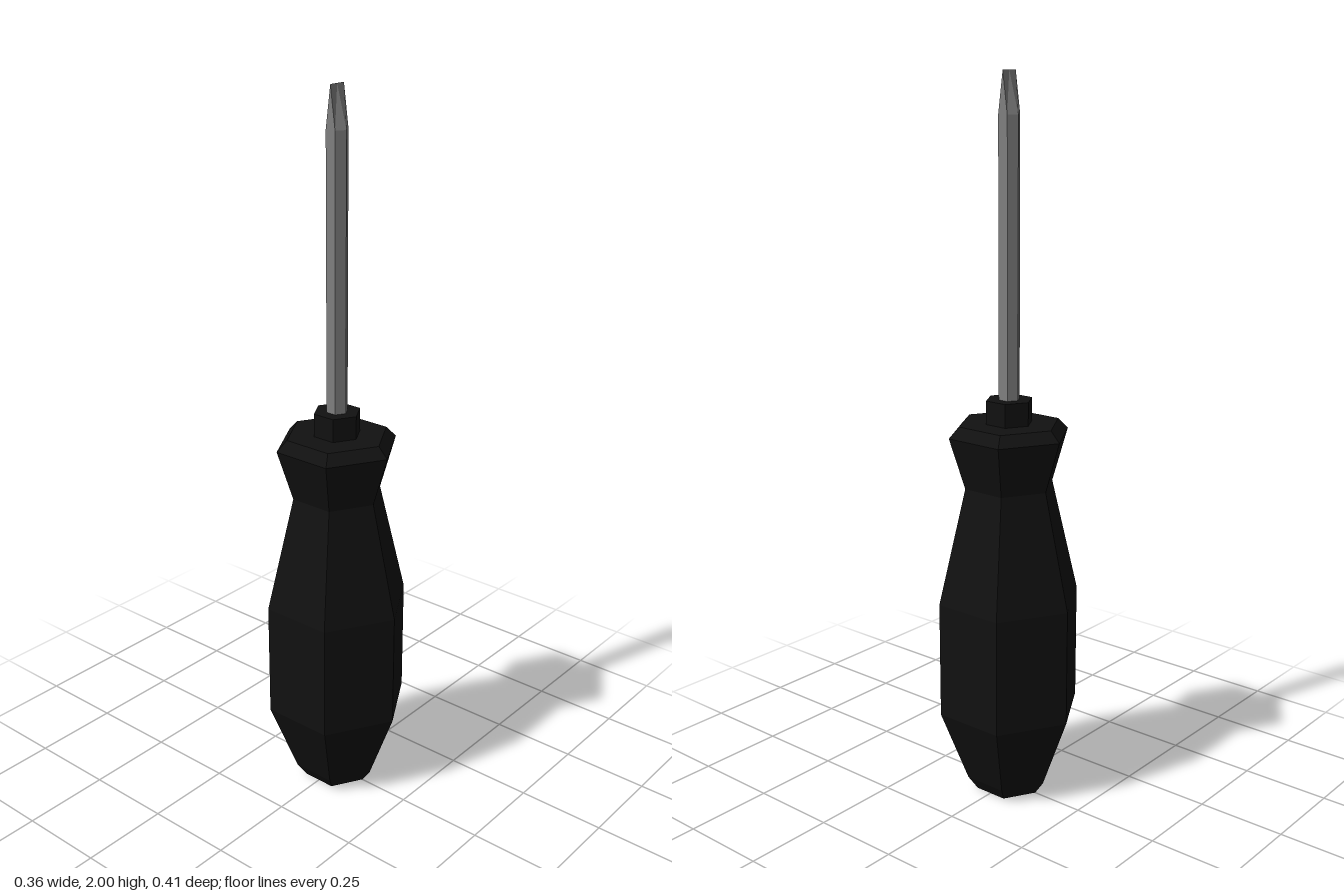
import * as THREE from 'three';

const SIDES = 6;

// Six-sided turned solid from [radius, height] pairs, listed bottom to top
function turned(name, profile, material) {
  const points = profile.map(([r, y]) => new THREE.Vector2(r, y));
  const mesh = new THREE.Mesh(new THREE.LatheGeometry(points, SIDES), material);
  mesh.name = name;
  return mesh;
}

export function createModel() {
  const black = new THREE.MeshStandardMaterial({ color: 0x111111, flatShading: true });
  black.name = 'black plastic';
  const steel = new THREE.MeshStandardMaterial({ color: 0x808080, flatShading: true });
  steel.name = 'grey steel';

  const model = new THREE.Group();
  model.name = 'screwdriver';

  // Grip: rounded butt, full belly, narrow neck and flared guard
  model.add(turned('handle', [
    [0, 0], [0.097, 0], [0.125, 0.04], [0.205, 0.25], [0.205, 0.58],
    [0.127, 0.905], [0.172, 1.05], [0.143, 1.08], [0, 1.08],
  ], black));

  // Collar where the shaft enters the grip
  model.add(turned('collar', [
    [0.066, 1.07], [0.066, 1.145], [0, 1.145],
  ], black));

  // Hexagonal shaft
  model.add(turned('shaft', [[0.03, 1.14], [0.03, 1.89]], steel));

  // Flat blade: the hexagon pinched in depth to a straight edge
  const blade = new THREE.CylinderGeometry(0.03, 0.03, 0.11, SIDES, 1, true);
  blade.translate(0, 1.945, 0);
  const pos = blade.attributes.position;
  for (let i = 0; i < pos.count; i++) {
    if (pos.getY(i) > 1.95) pos.setZ(i, 0);
  }
  blade.computeVertexNormals();
  const tip = new THREE.Mesh(blade, steel);
  tip.name = 'bladeTip';
  model.add(tip);

  return model;
}
